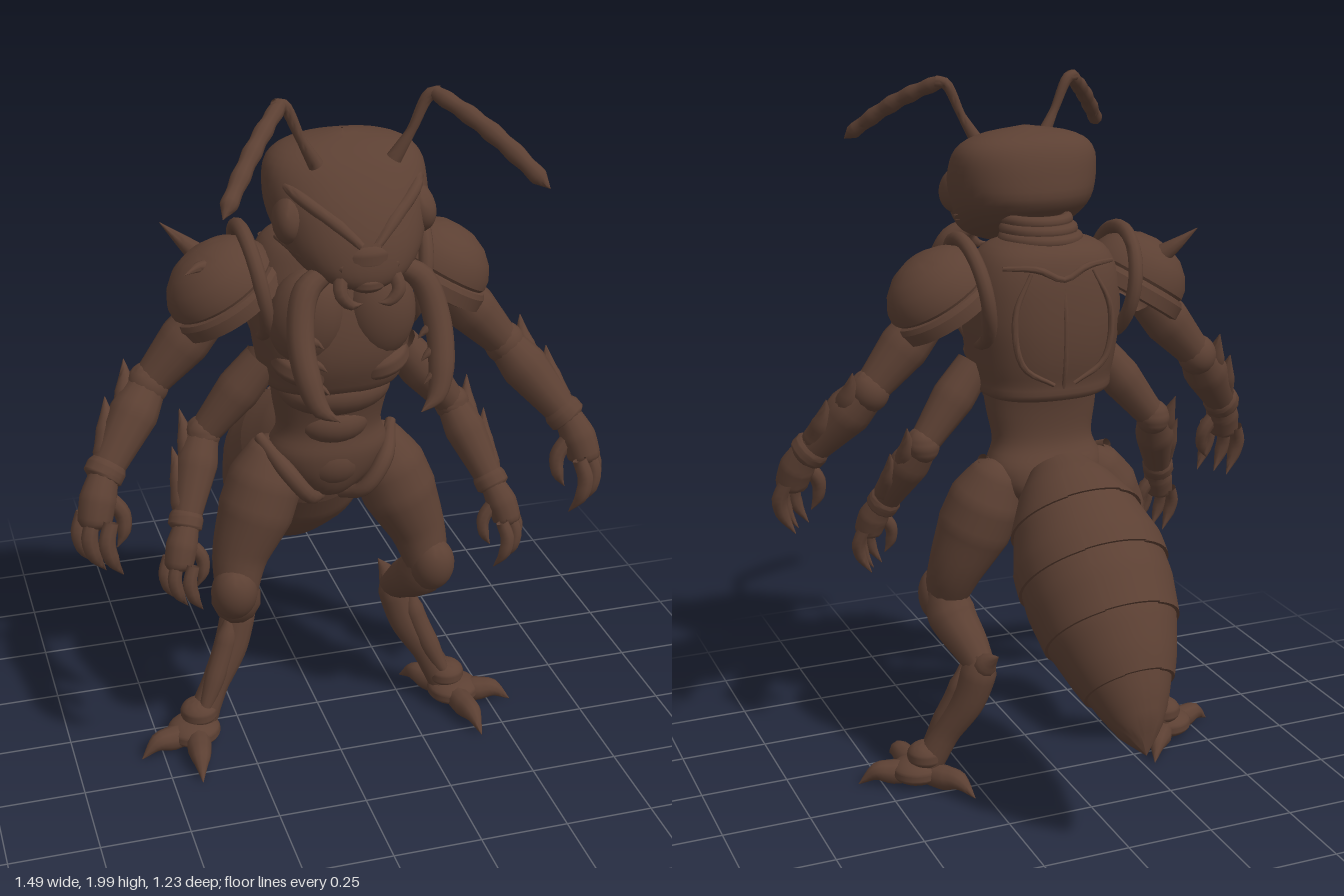
import * as THREE from 'three';
import { toCreasedNormals } from 'three/addons/utils/BufferGeometryUtils.js';

const chitin = new THREE.MeshStandardMaterial({ color: 0x5c4033, side: THREE.DoubleSide });
chitin.name = 'brown chitin';

export function createModel() {
  const model = new THREE.Group();
  model.name = 'insectWarrior';
  const add = (name, geo, crease = 0.75) => {
    const mesh = new THREE.Mesh(toCreasedNormals(geo, crease), chitin);
    mesh.name = name;
    model.add(mesh);
    return mesh;
  };

  // Tapering limb through points [x, y, z, radius]; s mirrors x
  const limb = (name, pts, s = 1, steps = 16, sides = 12) => {
    const curve = new THREE.CatmullRomCurve3(pts.map(p => new THREE.Vector3(p[0] * s, p[1], p[2])));
    const geo = new THREE.TubeGeometry(curve, steps, 1, sides);
    const pos = geo.attributes.position, v = new THREE.Vector3();
    for (let i = 0; i <= steps; i++) {
      const c = curve.getPointAt(i / steps);
      const t = curve.getUtoTmapping(i / steps) * (pts.length - 1);
      const k = Math.min(Math.floor(t), pts.length - 2);
      const r = THREE.MathUtils.lerp(pts[k][3], pts[k + 1][3], t - k);
      for (let j = 0; j <= sides; j++) {
        const n = i * (sides + 1) + j;
        v.fromBufferAttribute(pos, n).sub(c).multiplyScalar(r).add(c);
        pos.setXYZ(n, v.x, v.y, v.z);
      }
    }
    return add(name, geo, 1);
  };

  // Ellipsoid plate or joint
  const ball = (name, [x, y, z], [a, b, c], s = 1, rot = [0, 0, 0]) => {
    const mesh = add(name, new THREE.SphereGeometry(1, 24, 16).scale(a, b, c), 1);
    mesh.position.set(x * s, y, z);
    mesh.rotation.set(rot[0], rot[1] * s, rot[2] * s);
    return mesh;
  };

  // Body lofted upward from sections [y, half width, back z, front z]
  const loft = (name, secs, power = 2.2, rows = 28, n = 36) => {
    const curveA = new THREE.CatmullRomCurve3(secs.map(q => new THREE.Vector3(q[1], q[2], q[3])), false, 'catmullrom');
    const curveB = new THREE.CatmullRomCurve3(secs.map(q => new THREE.Vector3(q[0], 0, 0)), false, 'catmullrom');
    const pos = [], idx = [], bend = c => Math.sign(c) * Math.abs(c) ** (2 / power);
    for (let i = 0; i <= rows; i++) {
      const q = curveA.getPoint(i / rows), y = curveB.getPoint(i / rows).x;
      for (let j = 0; j < n; j++) {
        const a = j / n * Math.PI * 2;
        pos.push(q.x * bend(Math.cos(a)), y, (q.y + q.z) / 2 + (q.z - q.y) / 2 * bend(Math.sin(a)));
        if (i < rows) {
          const p = i * n + j, t = i * n + (j + 1) % n;
          idx.push(p, p + n, t, t, p + n, t + n);
        }
      }
    }
    const geo = new THREE.BufferGeometry();
    geo.setAttribute('position', new THREE.Float32BufferAttribute(pos, 3));
    geo.setIndex(idx);
    return add(name, geo, 0.9);
  };

  // Head, thorax and waist
  loft('head', [[1.52, 0.002, 0.41, 0.42], [1.53, 0.06, 0.34, 0.47], [1.56, 0.13, 0.25, 0.485], [1.61, 0.175, 0.15, 0.48],
    [1.67, 0.2, 0.08, 0.46], [1.74, 0.21, 0.08, 0.42], [1.81, 0.197, 0.1, 0.36], [1.85, 0.135, 0.14, 0.3], [1.873, 0.002, 0.22, 0.23]]);
  loft('thorax', [[1.14, 0.002, 0.1, 0.11], [1.15, 0.17, -0.035, 0.25], [1.2, 0.195, -0.05, 0.29], [1.28, 0.21, -0.065, 0.31],
    [1.38, 0.22, -0.067, 0.3], [1.5, 0.205, -0.05, 0.26], [1.57, 0.15, -0.01, 0.22], [1.6, 0.002, 0.1, 0.11]], 2.4);
  loft('waist', [[0.78, 0.002, 0.1, 0.11], [0.81, 0.06, 0.03, 0.17], [0.87, 0.14, -0.03, 0.2], [0.94, 0.17, -0.02, 0.21],
    [1.01, 0.147, 0.02, 0.2], [1.1, 0.16, 0.02, 0.22], [1.2, 0.17, 0.0, 0.26]]);
  for (let i = 0; i < 3; i++) {
    const ring = add('neckRing', new THREE.TorusGeometry(0.1 - i * 0.008, 0.018, 10, 28).rotateX(Math.PI / 2));
    ring.position.set(0, 1.58 + i * 0.023, 0.115 + i * 0.015);
  }

  // Belly and back plates
  ball('bellyPlate', [0, 1.14, 0.165], [0.155, 0.075, 0.11]);
  ball('navelPlate', [0, 1.03, 0.135], [0.11, 0.07, 0.09]);
  ball('pelvisPlate', [0, 0.91, 0.13], [0.1, 0.085, 0.085]);
  limb('backCollar', [[-0.16, 1.525, -0.005, 0.006], [-0.07, 1.52, -0.038, 0.01], [0, 1.49, -0.047, 0.01],
    [0.07, 1.52, -0.038, 0.01], [0.16, 1.525, -0.005, 0.006]]);
  limb('spineRidge', [[0, 1.5, -0.045, 0.006], [0, 1.38, -0.063, 0.008], [0, 1.25, -0.058, 0.008], [0, 1.16, -0.035, 0.006]]);

  // Face centre
  ball('snout', [0, 1.61, 0.43], [0.08, 0.05, 0.055]);
  ball('lowerLip', [0, 1.545, 0.44], [0.05, 0.028, 0.05]);

  // Segmented rear abdomen; its local y runs down to the tip, which droops
  const outline = [[0, 0.09], [0.065, 0.135], [0.165, 0.182], [0.28, 0.21], [0.4, 0.207], [0.52, 0.183],
    [0.62, 0.145], [0.72, 0.098], [0.79, 0.056], [0.848, 0.001]];
  const radiusAt = s => {
    const k = Math.max(0, outline.findIndex((p, i) => i < outline.length - 1 && s <= outline[i + 1][0]));
    const [a, b] = [outline[k], outline[k + 1]];
    return THREE.MathUtils.lerp(a[1], b[1], (s - a[0]) / (b[0] - a[0]));
  };
  const breaks = [0, 0.17, 0.34, 0.51, 0.67, 0.848];
  const rings = lift => {
    const pts = [];
    for (let i = 0; i < 5; i++) for (let k = 0; k <= 8; k++) {
      const s = THREE.MathUtils.lerp(breaks[i], breaks[i + 1], k / 8);
      pts.push(new THREE.Vector2(Math.max(0.001, radiusAt(s) + (s > 0.8 ? 0 : lift + (k / 8 - 0.5) * 0.009)), s));
    }
    return pts;
  };
  const shells = { abdomen: new THREE.LatheGeometry(rings(0), 40), abdomenTopPlates: new THREE.LatheGeometry(rings(0.006), 12, -0.42, 0.84) };
  for (const [name, geo] of Object.entries(shells)) {
    const pos = geo.attributes.position;
    for (let i = 0; i < pos.count; i++) {
      const droop = Math.max(0, (pos.getY(i) - 0.55) / 0.298);
      pos.setZ(i, pos.getZ(i) - 0.035 * droop * droop);
    }
    const part = add(name, geo, 0.6);
    part.position.set(0, 0.945, -0.012);
    part.rotation.x = -2.339;
  }

  // Arm from shoulder, elbow and wrist, with a guard and clawed hand
  const arm = (label, S, E, W, s, k) => {
    const mix = (a, b, t, r, o = [0, 0, 0]) => [...a.map((v, i) => v + (b[i] - v) * t + o[i]), r * k];
    limb(label + 'UpperArm', [mix(S, E, 0, 0.06), mix(S, E, 0.4, 0.07), mix(S, E, 0.8, 0.055), mix(S, E, 1.1, 0.045)], s);
    ball(label + 'Elbow', E, [0.056 * k, 0.06 * k, 0.058 * k], s);
    limb(label + 'Forearm', [mix(E, W, -0.1, 0.045), mix(E, W, 0.3, 0.066), mix(E, W, 0.7, 0.052), mix(E, W, 1, 0.042)], s);
    // Pointed guard plates along the outer forearm
    for (const t of [0, 0.4]) {
      limb(label + 'ForearmGuard', [mix(E, W, t - 0.12, 0.001, [0.075 * k, 0.04, -0.02]), mix(E, W, t + 0.12, 0.03, [0.04 * k, 0.015, -0.015]),
        mix(E, W, t + 0.35, 0.04, [0.015, 0, 0]), mix(E, W, t + 0.6, 0.01, [0, 0, 0])], s);
    }
    limb(label + 'Cuff', [mix(E, W, 0.82, 0.045), mix(E, W, 0.88, 0.054), mix(E, W, 0.98, 0.054), mix(E, W, 1.03, 0.035)], s);
    const at = (x, y, z, r) => [W[0] + x * k, W[1] + y * k, W[2] + z * k, r * k];
    limb(label + 'Palm', [at(-0.01, 0.02, 0, 0.038), at(0.015, -0.04, 0.03, 0.05), at(0.03, -0.1, 0.05, 0.045), at(0.03, -0.125, 0.055, 0.001)], s);
    for (const [x, z] of [[0.055, 0.015], [0.035, 0.06], [-0.005, 0.095]])
      limb(label + 'Finger', [at(x, -0.08, z, 0.02), at(x + 0.015, -0.13, z + 0.015, 0.023), at(x + 0.005, -0.18, z + 0.02, 0.02),
        at(x - 0.025, -0.235, z + 0.005, 0.001)], s, 10, 8);
    limb(label + 'Thumb', [at(-0.01, -0.04, 0.03, 0.022), at(-0.045, -0.09, 0.035, 0.022), at(-0.045, -0.14, 0.045, 0.018),
      at(-0.025, -0.18, 0.05, 0.001)], s, 10, 8);
  };

  for (const s of [1, -1]) {
    // Eye, brow, cheek and chest
    ball('eye', [0.155, 1.69, 0.315], [0.05, 0.068, 0.085], s, [0.4, 0.35, 0]);
    limb('brow', [[0.19, 1.78, 0.27, 0.008], [0.15, 1.75, 0.365, 0.016], [0.07, 1.69, 0.432, 0.018], [0.02, 1.645, 0.47, 0.01]], s);
    limb('cheekRidge', [[0.185, 1.62, 0.27, 0.008], [0.14, 1.61, 0.39, 0.018], [0.06, 1.59, 0.46, 0.018]], s);
    ball('chestPlate', [0.1, 1.38, 0.245], [0.1, 0.135, 0.078], s, [0.05, 0.25, 0.1]);
    ball('ribPlate', [0.105, 1.235, 0.22], [0.085, 0.05, 0.085], s, [0, 0.3, 0.3]);
    limb('backPlateEdge', [[0.09, 1.51, -0.035, 0.006], [0.14, 1.4, -0.045, 0.009], [0.12, 1.26, -0.05, 0.009], [0.03, 1.2, -0.05, 0.006]], s);

    // Antenna: thin stalk and beaded feeler
    limb('antennaStalk', [[0.1, 1.82, 0.34, 0.02], [0.14, 1.89, 0.35, 0.012], [0.185, 1.98, 0.355, 0.016], [0.21, 1.985, 0.365, 0.016]], s);
    const feeler = [];
    for (let i = 0; i <= 10; i++) {
      const t = i / 10;
      feeler.push([0.195 + 0.205 * t, 1.985 - 0.18 * t + 0.018 * Math.sin(t * Math.PI), 0.36 + 0.262 * t,
        i === 10 ? 0.001 : (i % 2 ? 0.021 : 0.017) + 0.004 * Math.sin(t * 3)]);
    }
    limb('antennaFeeler', feeler, s, 40, 10);

    // Curved mandible tusk with inner teeth
    limb('mandible', [[0.09, 1.57, 0.41, 0.025], [0.15, 1.53, 0.43, 0.034], [0.178, 1.43, 0.475, 0.035], [0.172, 1.33, 0.53, 0.033],
      [0.15, 1.265, 0.56, 0.024], [0.105, 1.235, 0.58, 0.001]], s, 24);
    for (let i = 0; i < 3; i++)
      limb('mandibleTooth', [[0.165, 1.42 - i * 0.05, 0.48 + i * 0.028, 0.018], [0.14, 1.41 - i * 0.05, 0.485 + i * 0.028, 0.01],
        [0.122, 1.395 - i * 0.05, 0.49 + i * 0.028, 0.001]], s, 6, 8);
    limb('innerJaw', [[0.06, 1.58, 0.44, 0.02], [0.075, 1.53, 0.475, 0.018], [0.05, 1.5, 0.48, 0.014], [0.02, 1.5, 0.48, 0.001]], s, 10, 8);

    // Layered shoulder pad and raised collar
    const profile = [[0.145, -0.045], [0.165, -0.04], [0.165, -0.005], [0.157, 0.008], [0.147, 0.01], [0.152, 0.018], [0.148, 0.045],
      [0.128, 0.08], [0.095, 0.11], [0.05, 0.13], [0.001, 0.136]];
    const pad = add('shoulderPad', new THREE.LatheGeometry(profile.map(p => new THREE.Vector2(...p)), 32).scale(1, 1, 0.9), 0.5);
    pad.position.set(0.288 * s, 1.43, 0.125);
    pad.rotation.z = -0.55 * s;
    const collar = add('shoulderCollar', new THREE.TorusGeometry(0.148, 0.02, 10, 32).rotateY(Math.PI / 2));
    collar.position.set(0.215 * s, 1.445, 0.11);
    collar.rotation.z = -0.16 * s;

    // Two pairs of arms
    arm('upper', [0.33, 1.38, 0.13], [0.5, 1.19, 0.13], [0.655, 0.99, 0.25], s, 1);
    arm('lower', [0.19, 1.23, 0.14], [0.355, 1.02, 0.12], [0.44, 0.81, 0.25], s, 0.87);

    // Backward-bent leg
    limb('hipStrap', [[0.19, 0.97, 0.08, 0.015], [0.14, 0.91, 0.185, 0.024], [0.08, 0.83, 0.195, 0.022], [0.03, 0.79, 0.13, 0.015]], s);
    limb('thigh', [[0.13, 0.97, 0.08, 0.001], [0.14, 0.94, 0.08, 0.065], [0.175, 0.85, 0.095, 0.105], [0.21, 0.76, 0.11, 0.107],
      [0.26, 0.64, 0.13, 0.08], [0.28, 0.55, 0.16, 0.062]], s, 24, 18);
    ball('kneeCap', [0.29, 0.545, 0.175], [0.065, 0.085, 0.065], s, [0.3, 0, 0]);
    limb('shin', [[0.285, 0.57, 0.16, 0.06], [0.275, 0.5, 0.13, 0.072], [0.25, 0.43, 0.05, 0.056], [0.235, 0.38, -0.005, 0.042]], s);
    limb('heelSpur', [[0.24, 0.36, 0.0, 0.035], [0.23, 0.4, -0.03, 0.034], [0.21, 0.435, -0.075, 0.001]], s, 10, 10);
    limb('lowerLeg', [[0.23, 0.42, -0.005, 0.03], [0.24, 0.37, 0.0, 0.052], [0.27, 0.27, 0.02, 0.05], [0.325, 0.17, 0.05, 0.04],
      [0.375, 0.07, 0.075, 0.045]], s);
    limb('lowerLegGuard', [[0.275, 0.4, 0.035, 0.001], [0.285, 0.32, 0.04, 0.03], [0.33, 0.2, 0.07, 0.03], [0.375, 0.1, 0.1, 0.015]], s);
    ball('ankle', [0.38, 0.1, 0.075], [0.055, 0.04, 0.055], s);
    ball('foot', [0.4, 0.05, 0.09], [0.078, 0.04, 0.075], s);
    for (const [x, z] of [[0.565, 0.14], [0.42, 0.295], [0.285, -0.075]]) {
      const toe = (t, y, r) => [0.39 + (x - 0.39) * t, y, 0.085 + (z - 0.085) * t, r];
      limb('toe', [toe(0.1, 0.045, 0.034), toe(0.45, 0.045, 0.036), toe(0.7, 0.048, 0.028), toe(1, 0.01, 0.001)], s, 14, 10);
    }
  }

  // Spikes on the right shoulder only
  limb('shoulderSpike', [[-0.34, 1.51, 0.06, 0.03], [-0.38, 1.545, 0.035, 0.018], [-0.43, 1.59, 0.01, 0.001]], 1, 8, 10);
  limb('shoulderSpike', [[-0.33, 1.52, 0.17, 0.018], [-0.37, 1.525, 0.19, 0.014], [-0.41, 1.52, 0.22, 0.001]], 1, 8, 10);

  return model;
}
